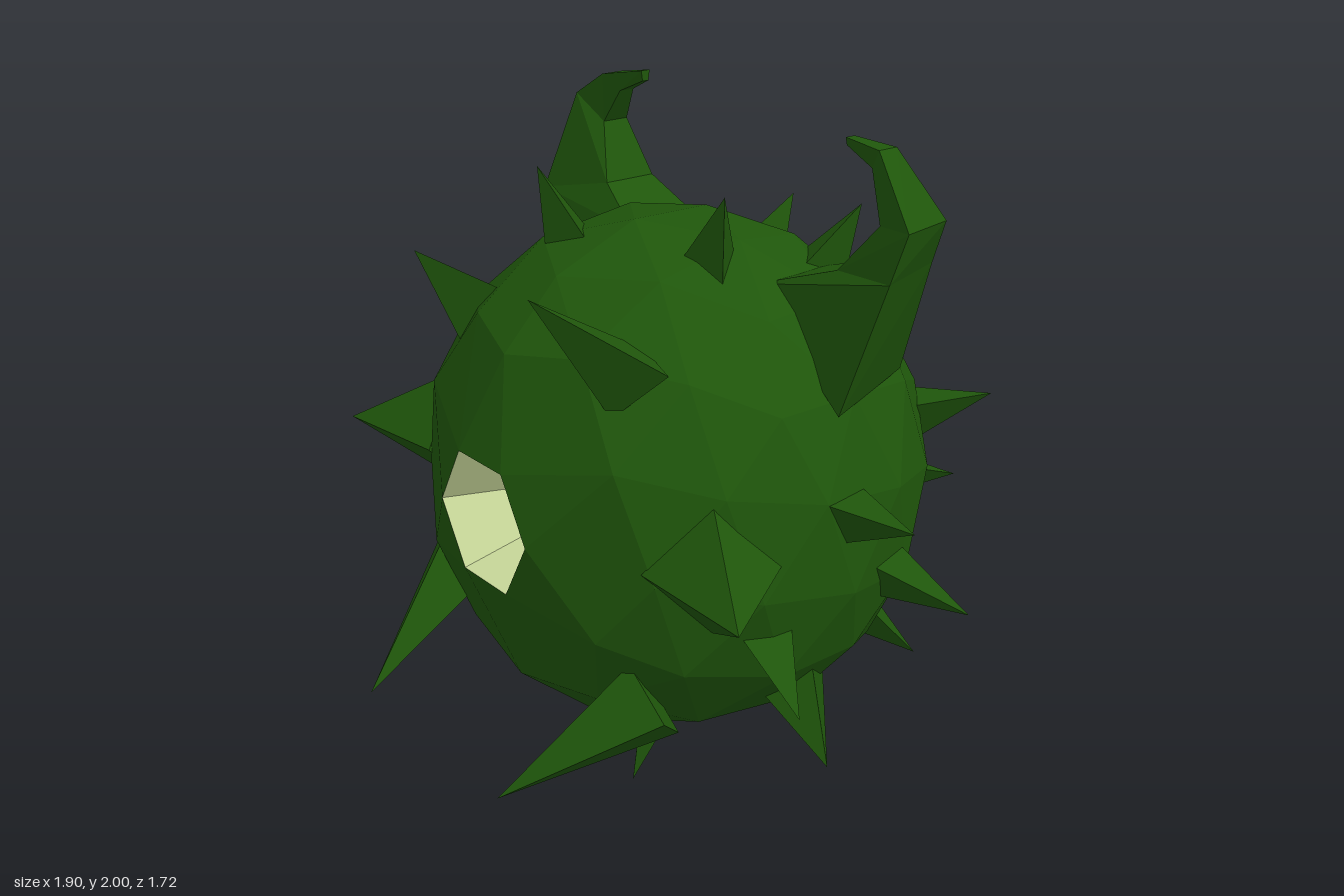
import * as THREE from 'three';

const green = new THREE.MeshStandardMaterial({ color: 0x1f560b, flatShading: true });
green.name = 'leaf green';
const pale = new THREE.MeshStandardMaterial({ color: 0xc8d89a, flatShading: true, side: THREE.DoubleSide });
pale.name = 'pale green';

const CENTER = new THREE.Vector3(0, 0.97, 0);
const RADII = new THREE.Vector3(0.725, 0.745, 0.71);
const UP = new THREE.Vector3(0, 1, 0);
const MOUTH_R = 0.2, MOUTH_Z = 0.67;

function addMesh(parent, name, geometry, material) {
  const mesh = new THREE.Mesh(geometry, material);
  mesh.name = name;
  parent.add(mesh);
  return mesh;
}

// Faceted ball, turned so a six-sided fan faces forward; that fan is cut out for the mouth
function bodyGeometry() {
  const ico = new THREE.IcosahedronGeometry(1, 2);
  const base = new THREE.IcosahedronGeometry(1, 0).attributes.position;
  const corner = [0, 1, 2].map(i => new THREE.Vector3().fromBufferAttribute(base, i));
  const z = corner[0].clone().add(corner[1]).add(corner[2]).normalize();
  const y = corner[0].clone().addScaledVector(z, -corner[0].dot(z)).normalize();
  const x = y.clone().cross(z);
  ico.applyMatrix4(new THREE.Matrix4().makeBasis(x, y, z).transpose());

  const p = ico.attributes.position;
  const out = [];
  for (let i = 0; i < p.count; i += 3) {
    const tri = [0, 1, 2].map(k => new THREE.Vector3().fromBufferAttribute(p, i + k));
    if (tri.some(v => v.z > 0.99)) continue;
    for (const v of tri) {
      if (v.z > 0.87) {
        const a = Math.round(Math.atan2(v.y, v.x) / (Math.PI / 3)) * Math.PI / 3;
        v.set(MOUTH_R * Math.cos(a), MOUTH_R * Math.sin(a), MOUTH_Z);
      } else {
        // the widest part sits a little forward and the lower half is slightly fuller
        const low = Math.max(0, -v.y), forward = 0.04 * (1 - v.z * v.z);
        v.multiply(RADII);
        v.x *= 1 + 0.05 * low;
        v.z = v.z * (1 + 0.06 * low) + forward;
      }
      out.push(v.x, v.y, v.z);
    }
  }
  const g = new THREE.BufferGeometry();
  g.setAttribute('position', new THREE.Float32BufferAttribute(out, 3));
  g.computeVertexNormals();
  return g;
}

// Pyramid from a root just under the skin out to its tip; three-sided ones have a base corner pointing down
function addSpike(parent, tip, radius, sides, root) {
  const t = new THREE.Vector3(...tip);
  let r;
  if (root) r = new THREE.Vector3(...root);
  else {
    const d = t.clone().sub(CENTER);
    r = d.clone().divideScalar(d.clone().divide(RADII).length()).multiplyScalar(0.9).add(CENTER);
  }
  const dir = t.clone().sub(r);
  const h = dir.length();
  dir.normalize();
  const across = dir.clone().cross(UP).normalize();
  const down = dir.clone().cross(across);
  const cone = new THREE.ConeGeometry(radius, h, sides, 1, false, sides === 3 ? Math.PI / 2 : 0);
  const mesh = addMesh(parent, 'spike', cone.translate(0, h / 2, 0), green);
  mesh.position.copy(r);
  mesh.quaternion.setFromRotationMatrix(new THREE.Matrix4().makeBasis(down, dir, across));
}

// Curled horn from four-cornered rings: [outerX, outerY, innerX, innerY, z, halfDepth, inset of the rear outer corner]
function hornGeometry(rings, side) {
  const pos = [], idx = [];
  for (const [ox, oy, ix, iy, z, d, inset] of rings) {
    pos.push(side * (ox - inset), oy, z - d, side * ox, oy, z + d);
    pos.push(side * ix, iy, z + d * 0.7, side * ix, iy, z - d * 0.7);
  }
  const tri = (a, b, c) => side > 0 ? idx.push(a, b, c) : idx.push(a, c, b);
  for (let i = 0; i < rings.length - 1; i++) {
    for (let j = 0; j < 4; j++) {
      const a = i * 4 + j, b = i * 4 + (j + 1) % 4;
      tri(b, a, a + 4);
      tri(b, a + 4, b + 4);
    }
  }
  const e = (rings.length - 1) * 4;
  tri(e, e + 2, e + 1);
  tri(e, e + 3, e + 2);
  const g = new THREE.BufferGeometry();
  g.setAttribute('position', new THREE.Float32BufferAttribute(pos, 3));
  g.setIndex(idx);
  const flat = g.toNonIndexed();
  flat.computeVertexNormals();
  return flat;
}

export function createModel() {
  const model = new THREE.Group();
  model.name = 'spikyBall';

  addMesh(model, 'body', bodyGeometry(), green).position.copy(CENTER);

  // Hollow six-sided mouth
  const profile = [[MOUTH_R, MOUTH_Z], [0.055, 0.28], [0, 0.28]].map(p => new THREE.Vector2(...p));
  const mouth = new THREE.LatheGeometry(profile, 6, Math.PI / 6).rotateX(Math.PI / 2);
  addMesh(model, 'mouth', mouth, pale).position.copy(CENTER);

  // Horns
  addMesh(model, 'leftHorn', hornGeometry([
    [0.67, 1.32, 0.28, 1.56, -0.155, 0.185, 0.15],
    [0.775, 1.68, 0.56, 1.66, -0.13, 0.11, 0.07],
    [0.81, 1.81, 0.69, 1.80, -0.12, 0.08, 0.03],
    [0.67, 1.98, 0.64, 1.93, -0.10, 0.03, 0],
    [0.55, 1.99, 0.55, 1.97, -0.09, 0.015, 0],
  ], 1), green);
  addMesh(model, 'rightHorn', hornGeometry([
    [0.65, 1.34, 0.28, 1.57, -0.175, 0.175, 0.11],
    [0.73, 1.61, 0.46, 1.67, -0.18, 0.12, 0.05],
    [0.65, 1.90, 0.54, 1.83, -0.19, 0.06, 0],
    [0.54, 1.97, 0.47, 1.93, -0.18, 0.035, 0],
    [0.38, 2.00, 0.38, 1.97, -0.18, 0.015, 0],
  ], -1), green);

  const spikes = new THREE.Group();
  spikes.name = 'spikes';
  model.add(spikes);

  // Small spikes around the sides, back, top and bottom
  const small = [
    [-0.95, 1.14, 0.03], [0.95, 1.10, 0.03], [-0.91, 0.76, -0.27], [0.90, 0.76, -0.25],
    [0.86, 0.64, 0.31], [0.46, 0.35, -0.53], [0.05, 0.16, -0.50],
    [0.53, 1.16, -0.71], [-0.54, 1.16, -0.71], [-0.45, 0.59, -0.75],
    [0, 1.28, -0.84], [0.28, 0.78, -0.86], [-0.20, 1.61, -0.60], [0.33, 1.73, -0.36],
    [-0.22, 1.83, 0.31], [0.34, 1.83, 0.13],
  ];
  for (const tip of small) addSpike(spikes, tip, 0.1, 3);

  // Larger spikes, some of them leaning
  addSpike(spikes, [-0.92, 0.95, 0.55], 0.18, 4, [-0.59, 0.97, 0.37]);
  addSpike(spikes, [0.89, 0.97, 0.54], 0.18, 4, [0.59, 0.97, 0.37]);
  addSpike(spikes, [-0.34, 0.36, 0.86], 0.13, 4, [-0.42, 0.66, 0.46]);
  addSpike(spikes, [0.25, 0.30, 0.82], 0.13, 4, [0.44, 0.55, 0.44]);
  addSpike(spikes, [-0.25, 1.66, 0.68], 0.12, 3, [-0.36, 1.41, 0.42]);
  addSpike(spikes, [0.27, 1.66, 0.68], 0.12, 3, [0.37, 1.42, 0.42]);
  addSpike(spikes, [-0.72, 0.34, 0], 0.12, 4, [-0.51, 0.54, 0]);
  addSpike(spikes, [0.68, 0.29, 0.03], 0.13, 4, [0.49, 0.53, 0.02]);
  addSpike(spikes, [0.05, 0, 0.22], 0.1, 4, [0.04, 0.33, 0.07]);
  return model;
}
